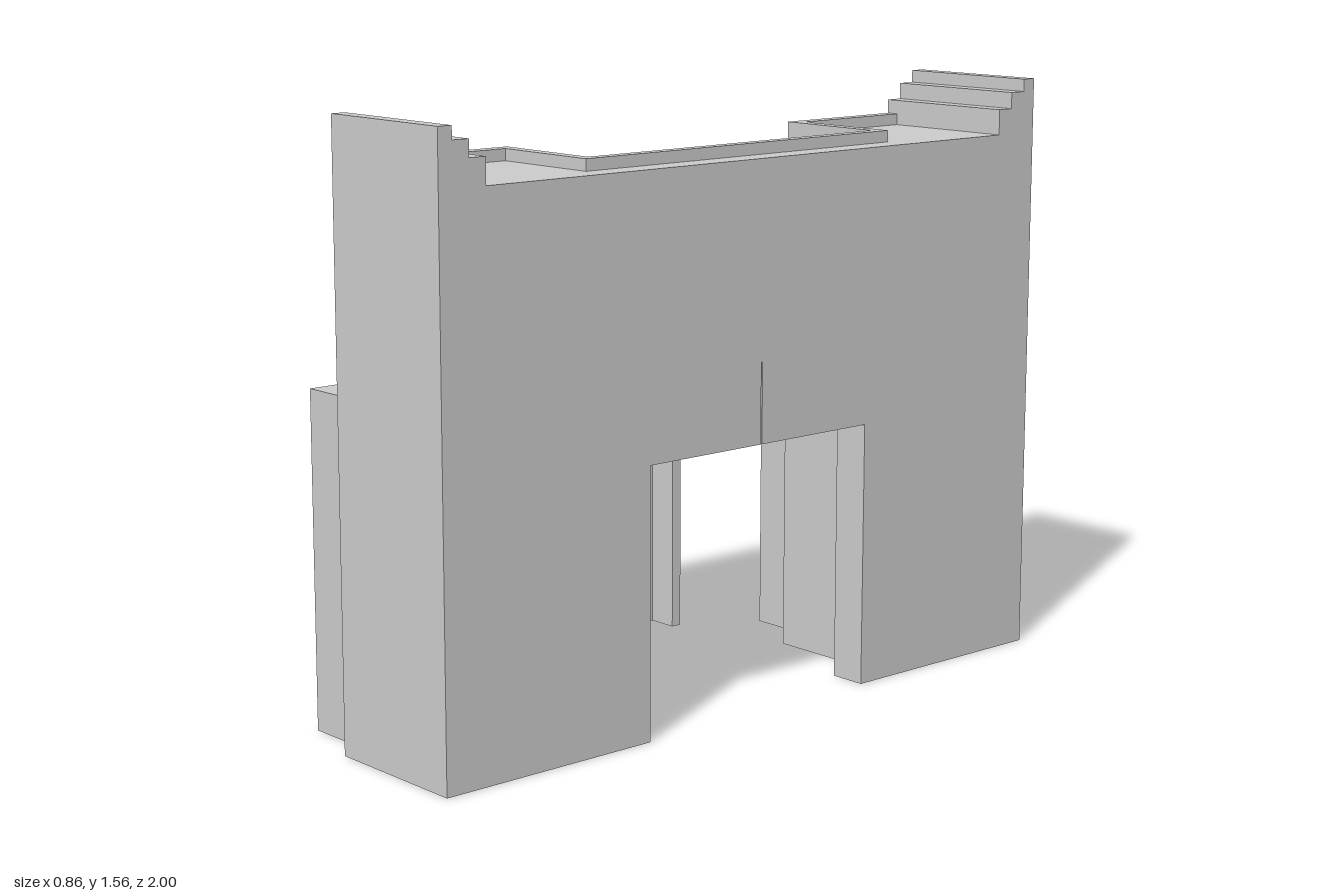
import * as THREE from 'three';
import { toCreasedNormals } from 'three/addons/utils/BufferGeometryUtils.js';

const material = new THREE.MeshStandardMaterial({ color: 0xcccccc });

const toPoints = (list) => list.map(([a, b]) => new THREE.Vector2(a, b));

function makeShape(outline, holes = []) {
  const shape = new THREE.Shape(toPoints(outline));
  holes.forEach((h) => shape.holes.push(new THREE.Path(toPoints(h))));
  return shape;
}

function addMesh(parent, name, geometry) {
  const mesh = new THREE.Mesh(geometry, material);
  mesh.name = name;
  parent.add(mesh);
  return mesh;
}

// Profile drawn in (z, y), extruded from x0 to x1
function alongX(shape, x0, x1) {
  const g = new THREE.ExtrudeGeometry(shape, { depth: x1 - x0, bevelEnabled: false });
  g.rotateY(-Math.PI / 2).translate(x1, 0, 0);
  return toCreasedNormals(g, 0.35);
}

// Plan drawn in (x, -z), extruded from y0 to y1
function alongY(shape, y0, y1) {
  const g = new THREE.ExtrudeGeometry(shape, { depth: y1 - y0, bevelEnabled: false });
  return g.rotateX(-Math.PI / 2).translate(0, y0, 0);
}

function box(x0, x1, y0, y1, z0, z1) {
  return new THREE.BoxGeometry(x1 - x0, y1 - y0, z1 - z0)
    .translate((x0 + x1) / 2, (y0 + y1) / 2, (z0 + z1) / 2);
}

const mirror = (list) => list.map(([a, b]) => [-a, b]).reverse();

// Stepped end of the wall top, from the roof out to the end
const steps = [[0.865, 1.42], [0.865, 1.487], [0.912, 1.487], [0.912, 1.53],
  [0.96, 1.53], [0.96, 1.563], [1, 1.563], [1, 0]];

function buildWall() {
  const wall = new THREE.Group();
  wall.name = 'gateWall';

  // Wall with doorway and a hairline slit above it
  const half = [...steps, [0.37, 0], [0.37, 0.7], [0.002, 0.7], [0.002, 0.91]];
  addMesh(wall, 'mainWall', alongX(makeShape([...half, ...mirror(half)]), 0.33, 0.43));

  // Deep towers at both ends
  const tower = [[0.48, 0], [0.48, 1.42], ...steps];
  addMesh(wall, 'leftTower', alongX(makeShape(tower), 0.02, 0.33));
  addMesh(wall, 'rightTower', alongX(makeShape(mirror(tower)), 0.02, 0.33));

  // Low parapet following the inner edge of the roof
  const outer = [[0.02, 0.865], [0.02, 0.48], [0.33, 0.48]];
  const inner = [[0.055, 0.865], [0.055, 0.512], [0.36, 0.512]];
  const flip = (list) => list.map(([x, z]) => [x, -z]).reverse();
  const plan = [...outer, ...flip(outer), ...inner.map(([x, z]) => [x, -z]), ...[...inner].reverse()];
  addMesh(wall, 'parapet', alongY(makeShape(plan), 1.42, 1.45));
  return wall;
}

function buildPorch() {
  const porch = new THREE.Group();
  porch.name = 'porch';

  // Face with a horseshoe arch
  const arch = [];
  for (let i = 0; i <= 28; i++) {
    const a = THREE.MathUtils.degToRad(-31.7 + (243.4 * i) / 28);
    const s = Math.sin(a);
    arch.push([0.257 * Math.cos(a), 0.62 + 0.257 * s * (s > 0 ? 1.05 : 1)]);
  }
  const jamb = [[0.37, 1.075], [0.37, 0.01], [0.265, 0.01], [0.265, 0.465]];
  addMesh(porch, 'archFace', alongX(makeShape([...jamb, ...arch, ...mirror(jamb)]), -0.43, -0.37));

  // Thin side walls, each with a leg at the corner
  const side = makeShape([[-0.37, 0.01], [-0.285, 0.01], [-0.285, 0.7], [0.33, 0.7], [0.33, 1.075], [-0.37, 1.075]]);
  for (const [name, z] of [['leftSideWall', 0.34], ['rightSideWall', -0.37]]) {
    const g = new THREE.ExtrudeGeometry(side, { depth: 0.03, bevelEnabled: false });
    addMesh(porch, name, g.translate(0, 0, z));
  }

  // Sunken roof
  addMesh(porch, 'porchRoof', box(-0.37, 0.33, 1.015, 1.045, -0.34, 0.34));
  return porch;
}

// Fountain block with a tall panel and a polygonal niche above it
function buildNicheBlock(name, z) {
  const block = new THREE.Group();
  block.name = name;
  const panel = (t) => [[-0.135 + t, 0.03 + t], [0.135 - t, 0.03 + t], [0.135 - t, 0.445 - t], [-0.135 + t, 0.445 - t]];
  const niche = (t) => {
    const right = [[0.1 - t * 0.5, 0.447 + t], [0.135 - t, 0.49 + t * 0.4], [0.135 - t, 0.58 - t * 0.3], [0.055 - t * 0.5, 0.67 - t]];
    return [...right, ...mirror(right)];
  };
  const face = [[-0.172, 0], [0.172, 0], [0.172, 0.872], [-0.172, 0.872]];
  const rim = 0.018;

  addMesh(block, 'blockBody', box(-0.13, 0.02, 0, 0.872, -0.172, 0.172));
  addMesh(block, 'blockFace', alongX(makeShape(face, [panel(rim), niche(rim)]), -0.19, -0.13));
  addMesh(block, 'panelFrame', alongX(makeShape(panel(0), [panel(rim)]), -0.204, -0.19));
  addMesh(block, 'nicheFrame', alongX(makeShape(niche(0), [niche(rim)]), -0.204, -0.19));
  block.position.z = z;
  return block;
}

export function createModel() {
  const model = new THREE.Group();
  model.name = 'gatehouse';
  model.add(
    buildWall(),
    buildPorch(),
    buildNicheBlock('leftNicheBlock', 0.762),
    buildNicheBlock('rightNicheBlock', -0.762),
  );
  return model;
}
